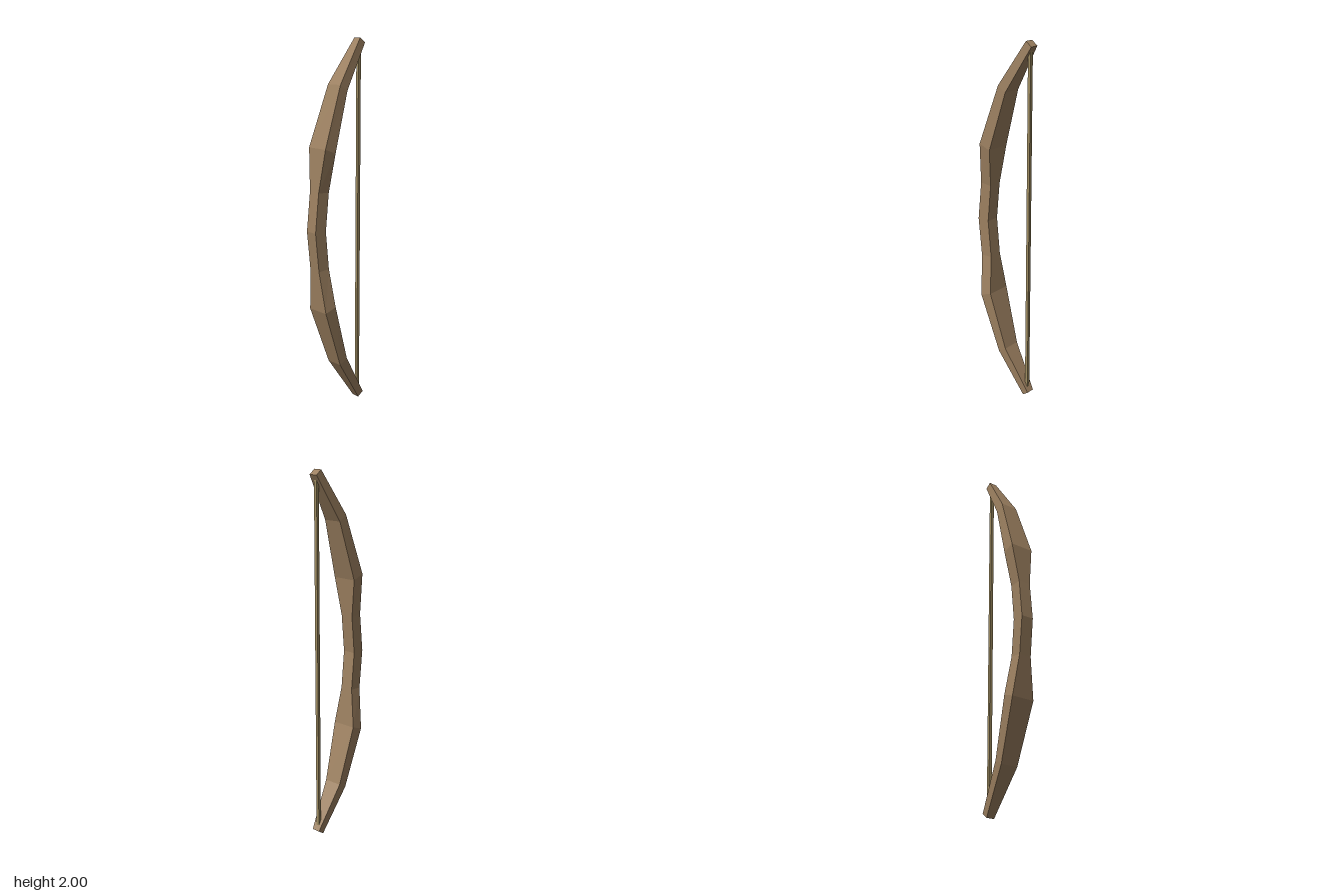
import * as THREE from 'three';

// Upper limb sections, grip to tip: [front y, front z, back y, back z, half width], y from the grip
const HALF = [
  [0, 0.175, 0, 0.105, 0.036],
  [0.212, 0.153, 0.206, 0.085, 0.036],
  [0.44, 0.132, 0.415, 0.064, 0.067],
  [0.763, 0.017, 0.733, -0.031, 0.05],
  [1.0, -0.141, 0.975, -0.175, 0.023],
];

// Four-cornered loft through the sections, capped at both ends
function loft(sections) {
  const rings = sections.map(([fy, fz, by, bz, w]) => [
    [-w, fy, fz], [w, fy, fz], [w, by, bz], [-w, by, bz],
  ]);
  const pos = [];
  const quad = (a, b, c, d) => pos.push(...a, ...b, ...c, ...a, ...c, ...d);
  for (let i = 0; i < rings.length - 1; i++) {
    const lo = rings[i], hi = rings[i + 1];
    for (let k = 0; k < 4; k++) {
      const n = (k + 1) % 4;
      quad(lo[k], lo[n], hi[n], hi[k]);
    }
  }
  quad(...rings[0].slice().reverse());
  quad(...rings[rings.length - 1]);
  const geo = new THREE.BufferGeometry();
  geo.setAttribute('position', new THREE.Float32BufferAttribute(pos, 3));
  geo.computeVertexNormals();
  return geo;
}

export function createModel() {
  const group = new THREE.Group();
  group.name = 'bow';

  // Wooden stave: the upper half mirrored about the grip
  const upper = HALF.map(([fy, fz, by, bz, w]) => [1 + fy, fz, 1 + by, bz, w]);
  const lower = HALF.slice(1).reverse().map(([fy, fz, by, bz, w]) => [1 - fy, fz, 1 - by, bz, w]);
  const wood = new THREE.MeshStandardMaterial({ color: 0x9c8060, flatShading: true });
  const stave = new THREE.Mesh(loft([...lower, ...upper]), wood);
  stave.name = 'stave';
  group.add(stave);

  // Thin straight string between the tips
  const cord = new THREE.MeshStandardMaterial({ color: 0x9c8a60, flatShading: true });
  const string = new THREE.Mesh(new THREE.BoxGeometry(0.017, 1.93, 0.017), cord);
  string.name = 'string';
  string.position.set(0, 1, -0.151);
  group.add(string);

  return group;
}
